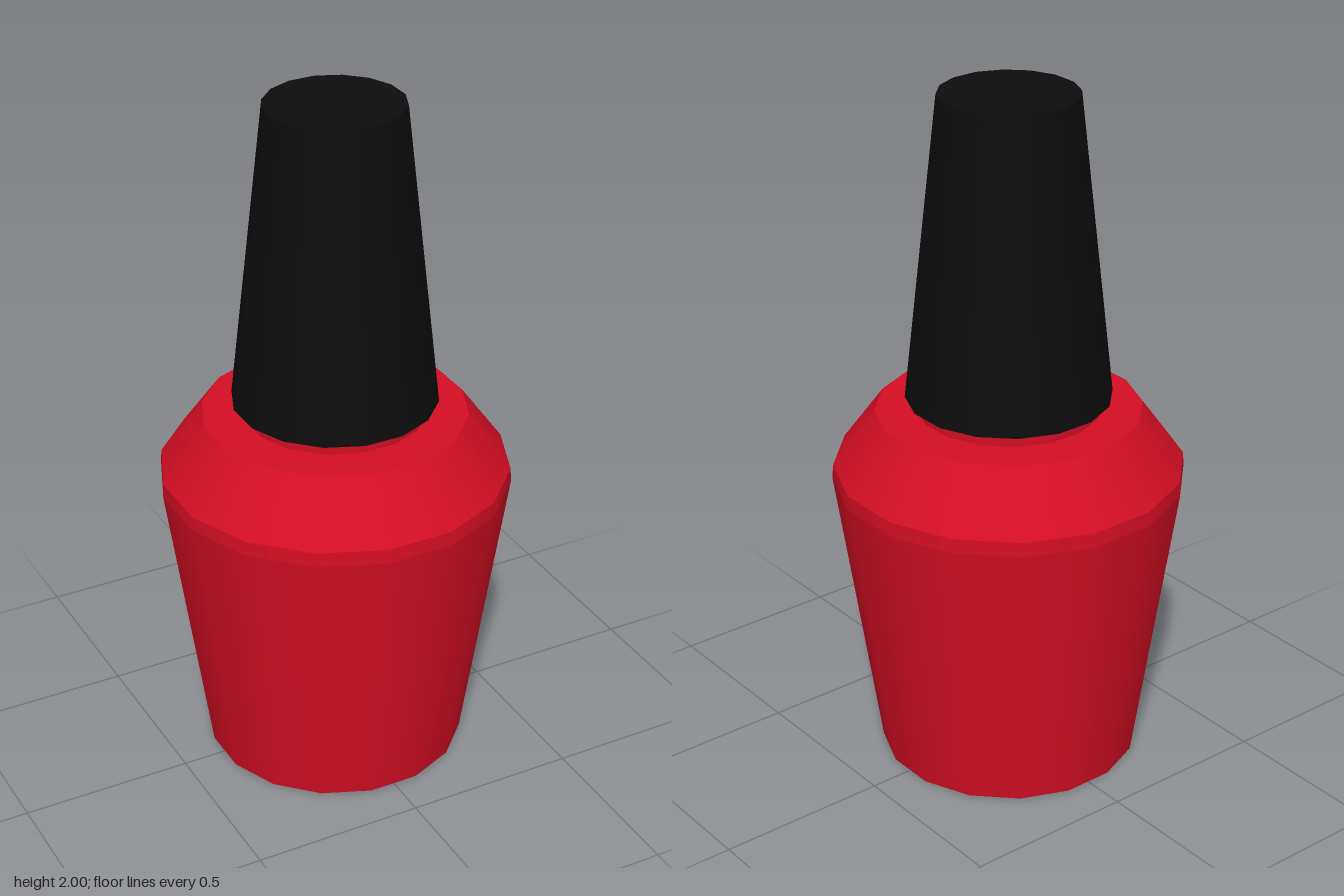
import * as THREE from 'three';

const SIDES = 16;

export function createModel() {
  const model = new THREE.Group();
  const red = new THREE.MeshStandardMaterial({ color: 0xd40e24 });
  red.name = 'lacquer red';
  const black = new THREE.MeshStandardMaterial({ color: 0x0d0d0d });
  black.name = 'cap black';

  // 16-sided tapered section with flats facing the axes
  function section(name, y0, r0, y1, r1, material, parent, open = true) {
    const geo = new THREE.CylinderGeometry(r1, r0, y1 - y0, SIDES, 1, open, Math.PI / SIDES);
    const mesh = new THREE.Mesh(geo, material);
    mesh.name = name;
    mesh.position.y = (y0 + y1) / 2;
    parent.add(mesh);
  }

  // Flat 16-sided disc facing up (dir = 1) or down (dir = -1)
  function disc(name, y, r, dir, material, parent) {
    const geo = new THREE.CircleGeometry(r, SIDES, Math.PI / SIDES);
    geo.rotateX(-dir * Math.PI / 2);
    const mesh = new THREE.Mesh(geo, material);
    mesh.name = name;
    mesh.position.y = y;
    parent.add(mesh);
  }

  // Bottle: tapered body, narrow vertical rim, sloped shoulder, neck
  const bottle = new THREE.Group();
  bottle.name = 'bottle';
  disc('bottleBase', 0, 0.377, -1, red, bottle);
  section('bottleBody', 0, 0.377, 0.865, 0.504, red, bottle);
  section('bottleRim', 0.865, 0.504, 0.907, 0.502, red, bottle);
  section('bottleShoulder', 0.907, 0.502, 1.075, 0.38, red, bottle);
  disc('bottleTop', 1.075, 0.38, 1, red, bottle);
  section('bottleNeck', 1.075, 0.262, 1.115, 0.262, red, bottle);
  model.add(bottle);

  // Tall tapered cap
  section('cap', 1.115, 0.294, 2, 0.196, black, model, false);

  return model;
}
